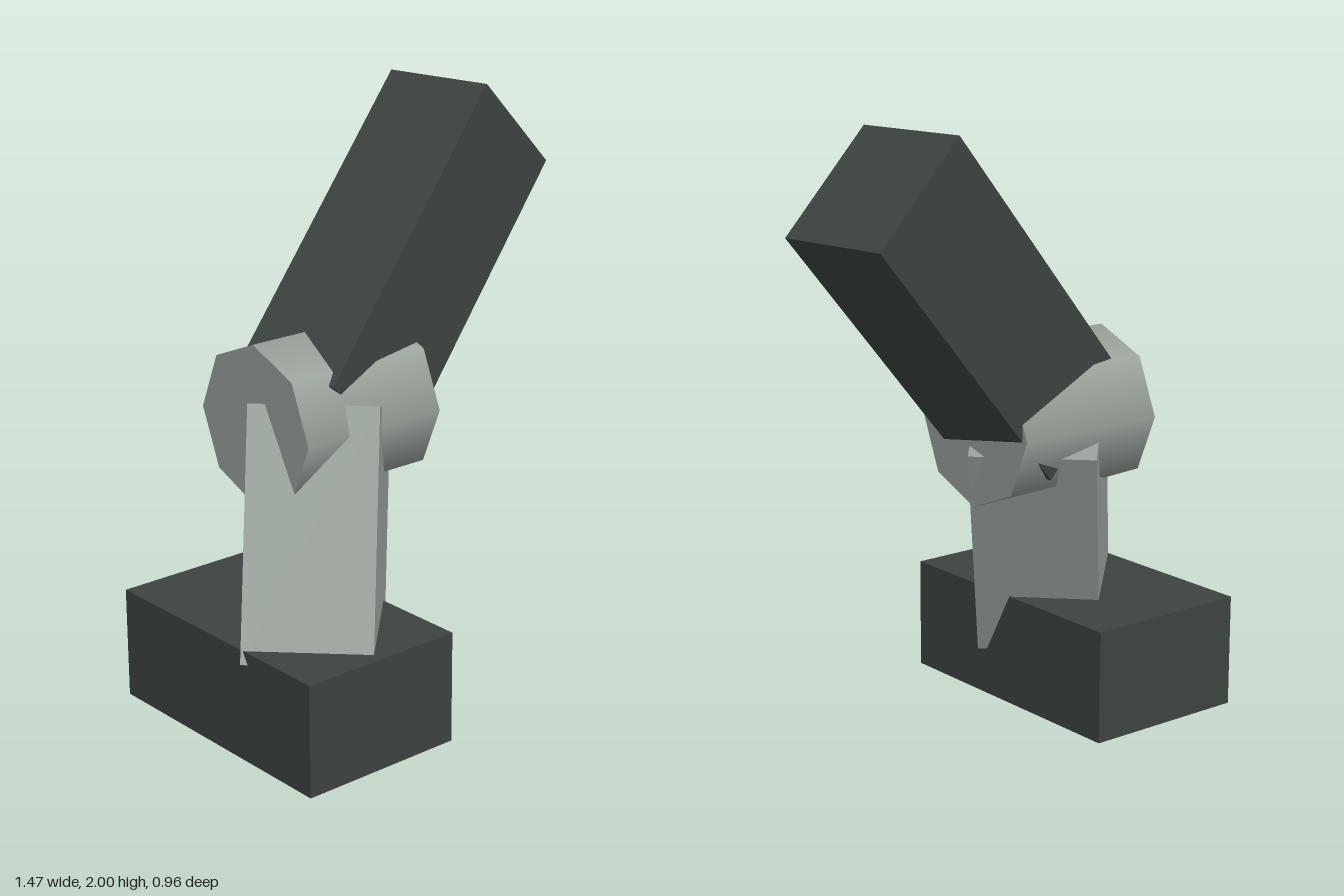
import * as THREE from 'three';

const dark = new THREE.MeshStandardMaterial({ color: 0x3c4340 });
const grey = new THREE.MeshStandardMaterial({ color: 0x959e97 });

function part(name, geometry, material, position) {
  const mesh = new THREE.Mesh(geometry, material);
  mesh.name = name;
  mesh.position.set(...position);
  return mesh;
}

// A box whose length follows a leaning direction while its width stays level.
function limb(name, [width, length, depth], material, centre, direction) {
  const mesh = part(name, new THREE.BoxGeometry(width, length, depth), material, centre);
  const y = new THREE.Vector3(...direction).normalize();
  const x = new THREE.Vector3(0, 1, 0).cross(y).normalize();
  const z = x.clone().cross(y);
  mesh.quaternion.setFromRotationMatrix(new THREE.Matrix4().makeBasis(x, y, z));
  return mesh;
}

export function createModel() {
  const group = new THREE.Group();
  group.name = 'jointedArm';

  // Block the arm stands on
  group.add(part('base', new THREE.BoxGeometry(0.585, 0.38, 0.96), dark, [-0.4275, 0.19, 0]));

  // Lower arm, leaning across the base diagonal
  group.add(limb('lowerArm', [0.417, 0.815, 0.498], grey, [-0.321, 0.63, 0.038], [0.273, 1, -0.273]));

  // Eight-sided elbow drum lying along x
  const elbow = part('elbow', new THREE.CylinderGeometry(0.27, 0.27, 0.545, 8), grey, [-0.2175, 1.01, -0.065]);
  elbow.rotation.z = Math.PI / 2;
  group.add(elbow);

  // Upper arm, starting at the centre of the drum
  const direction = new THREE.Vector3(0.667, 0.737, -0.109).normalize();
  const length = 1.135;
  const centre = elbow.position.clone().addScaledVector(direction, length / 2);
  group.add(limb('upperArm', [0.4, length, 0.458], dark, centre.toArray(), direction.toArray()));

  return group;
}
